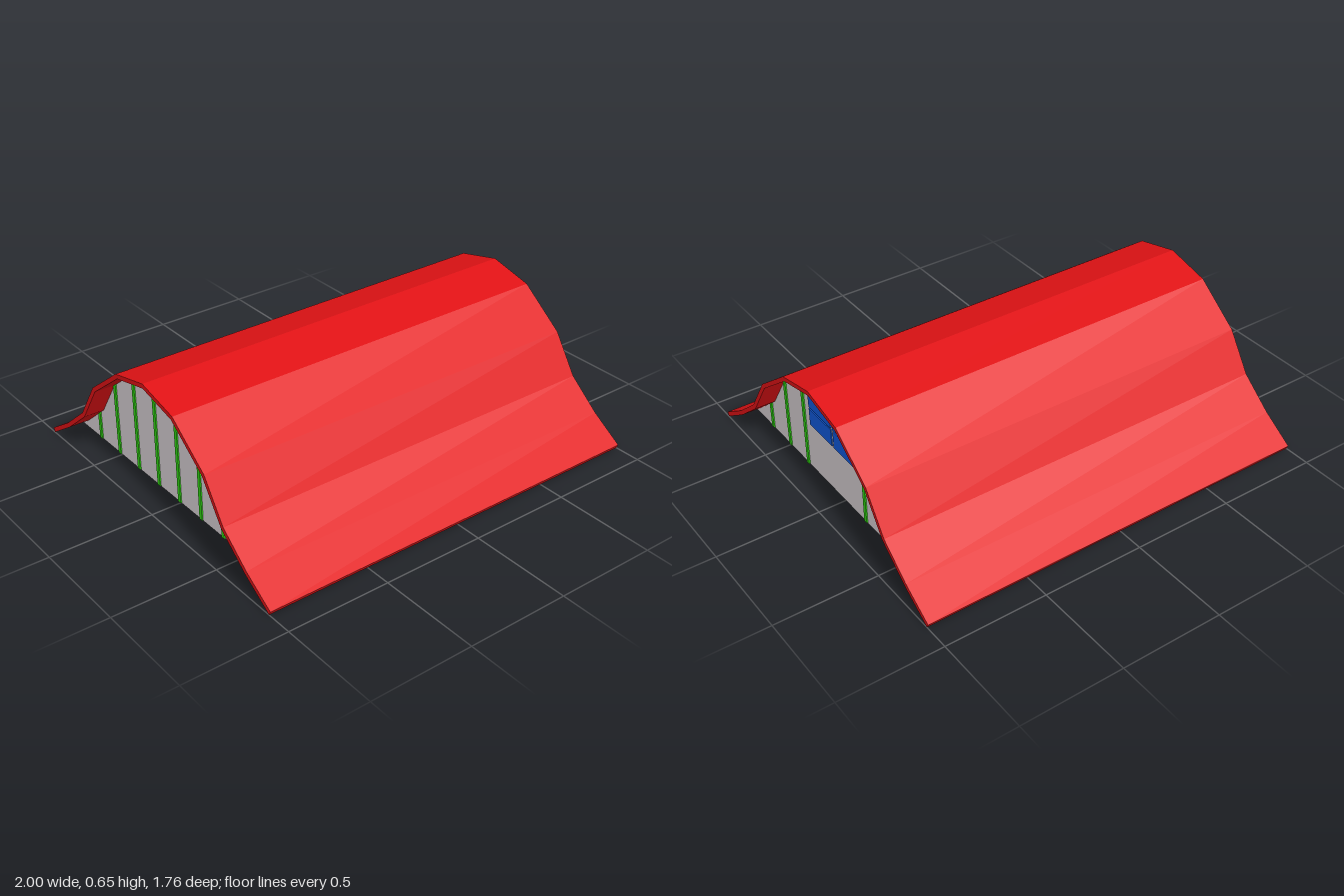
import * as THREE from 'three';

const mat = (color) => new THREE.MeshStandardMaterial({ color });
const red = mat(0xe01215), wall = mat(0xd6ced2), green = mat(0x2fd612), blue = mat(0x115add), grey = mat(0xcccccc);

// Half profiles of the roof, as [distance from ridge, height]
const outer = [[0, 0.655], [0.223, 0.603], [0.443, 0.436], [0.566, 0.25], [0.722, 0.122], [0.88, 0.02]];
const inner = [[0, 0.633], [0.212, 0.584], [0.426, 0.422], [0.55, 0.235], [0.71, 0.104], [0.87, 0]];
const FLOOR_Y = 0.07, END_X = 0.9;

const mirrored = (half) => [...half.slice(1).reverse().map(([z, y]) => [-z, y]), ...half];

// Height of the roof underside at a given z
function ceilingAt(z) {
  const d = Math.abs(z);
  const i = inner.findIndex((p, k) => k > 0 && p[0] >= d);
  const [a, b] = [inner[i - 1], inner[i]];
  return a[1] + (b[1] - a[1]) * (d - a[0]) / (b[0] - a[0]);
}

// Extrudes a z-y outline along x, centred
function extrudeX(points, length) {
  const shape = new THREE.Shape(points.map(([z, y]) => new THREE.Vector2(z, y)));
  const geo = new THREE.ExtrudeGeometry(shape, { depth: length, bevelEnabled: false });
  return geo.translate(0, 0, -length / 2).rotateY(Math.PI / 2);
}

function add(parent, name, geo, material, x = 0, y = 0, z = 0) {
  const mesh = new THREE.Mesh(geo, material);
  mesh.name = name;
  mesh.position.set(x, y, z);
  parent.add(mesh);
}

// Vertical strips on one gable; the windowed gable skips the middle two
function gableStrips(hasWindow) {
  const group = new THREE.Group();
  group.name = hasWindow ? 'windowGable' : 'plainGable';
  for (let i = 0; i < 9; i++) {
    const z = 0.5855 - i * 0.1666;
    if (hasWindow && Math.abs(z) < 0.2) continue;
    const h = ceilingAt(z) + 0.008 - FLOOR_Y;
    add(group, 'wallStrip', new THREE.BoxGeometry(0.012, h, 0.02), green, END_X, FLOOR_Y + h / 2, z);
  }
  return group;
}

export function createModel() {
  const model = new THREE.Group();
  model.name = 'attic';

  // Curved roof shell
  add(model, 'roof', extrudeX([...mirrored(outer), ...mirrored(inner).reverse()], 2), red);

  // Walled body, tucked into the roof thickness and cut off at floor level
  const middle = outer.slice(0, 5).map(([z, y], i) => [(z + inner[i][0]) / 2, (y + inner[i][1]) / 2]);
  add(model, 'gableWalls', extrudeX(mirrored([...middle, [0.775, FLOOR_Y]]), END_X * 2), wall);
  add(model, 'floor', new THREE.BoxGeometry(END_X * 2, 0.004, 1.54), grey, 0, FLOOR_Y, 0);

  // Gables
  const front = gableStrips(true);
  const back = gableStrips(false);
  back.rotation.y = Math.PI;
  model.add(front, back);

  // Four window panes with a narrow cross of wall between them
  for (const side of [-1, 1]) {
    for (const row of [-1, 1]) {
      add(front, 'windowPane', new THREE.BoxGeometry(0.01, 0.088, 0.19), blue, END_X, 0.412 + row * 0.048, side * 0.103);
    }
  }
  return model;
}
